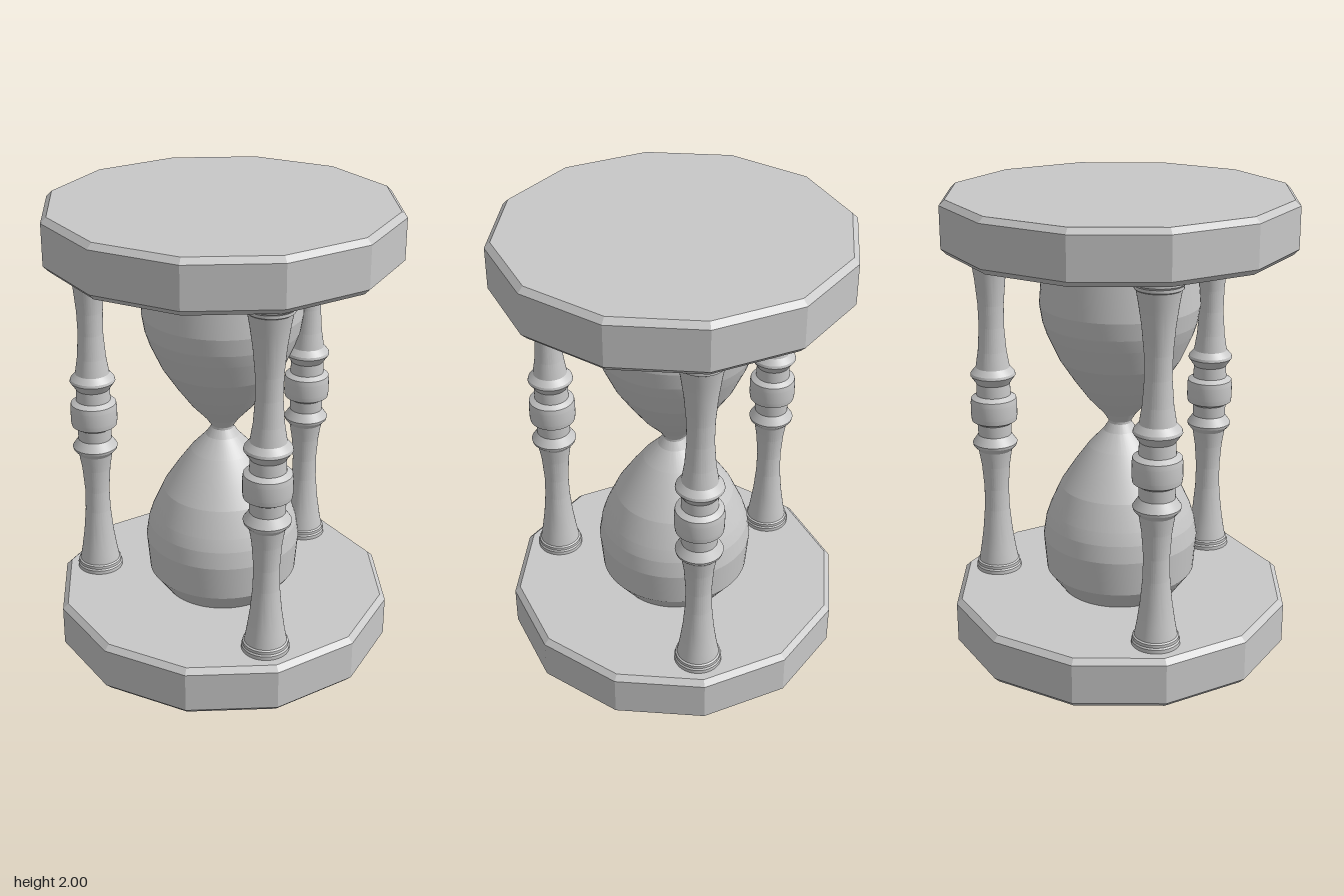
import * as THREE from 'three';
import { toCreasedNormals } from 'three/addons/utils/BufferGeometryUtils.js';

const grey = new THREE.MeshStandardMaterial({ color: 0xc8c8c8 });
grey.name = 'plain grey';

// Turned part from [radius, y] pairs listed bottom to top
function turned(name, profile, sides, crease) {
  const points = profile.map(([r, y]) => new THREE.Vector2(r, y));
  const mesh = new THREE.Mesh(toCreasedNormals(new THREE.LatheGeometry(points, sides), crease), grey);
  mesh.name = name;
  return mesh;
}

// Full profile mirrored about mid height, from the upper half listed upward
function mirrored(upper) {
  const lower = upper.map(([r, y]) => [r, -y]).reverse();
  return [...lower, ...upper];
}

export function createModel() {
  const model = new THREE.Group();
  model.name = 'hourglass';

  // Twelve-sided end plates with bevelled rims
  const plateProfile = [[0, 0], [0.723, 0], [0.747, 0.024], [0.747, 0.2], [0.723, 0.223], [0, 0.223]];
  for (const [name, y] of [['basePlate', 0], ['topPlate', 1.777]]) {
    const plate = turned(name, plateProfile, 12, 0.2);
    plate.position.y = y;
    model.add(plate);
  }

  // Two glass bulbs meeting at a narrow neck
  const bulb = [
    [0.05, 0.005], [0.073, 0.04], [0.138, 0.11], [0.2, 0.195], [0.262, 0.29],
    [0.312, 0.4], [0.33, 0.455], [0.342, 0.53], [0.329, 0.685], [0.26, 0.78],
  ];
  const glass = turned('glass', mirrored(bulb), 64, 0.12);
  glass.position.y = 1;
  model.add(glass);

  // Three turned pillars: one at the back, two towards the front
  const pillarHalf = [
    [0.103, 0.03], [0.1, 0.052], [0.076, 0.067], [0.074, 0.12], [0.1, 0.158], [0.097, 0.17],
    [0.075, 0.195], [0.063, 0.27], [0.055, 0.38], [0.057, 0.48], [0.067, 0.59], [0.08, 0.68],
    [0.09, 0.735], [0.097, 0.74], [0.097, 0.753], [0.102, 0.76], [0.102, 0.779],
  ];
  const pillarProfile = mirrored(pillarHalf);
  for (let i = 0; i < 3; i++) {
    const angle = Math.PI + (i * Math.PI * 2) / 3;
    const pillar = turned(['backPillar', 'rightPillar', 'leftPillar'][i], pillarProfile, 40, 0.17);
    pillar.position.set(Math.sin(angle) * 0.583, 1, Math.cos(angle) * 0.583);
    model.add(pillar);
  }
  return model;
}
